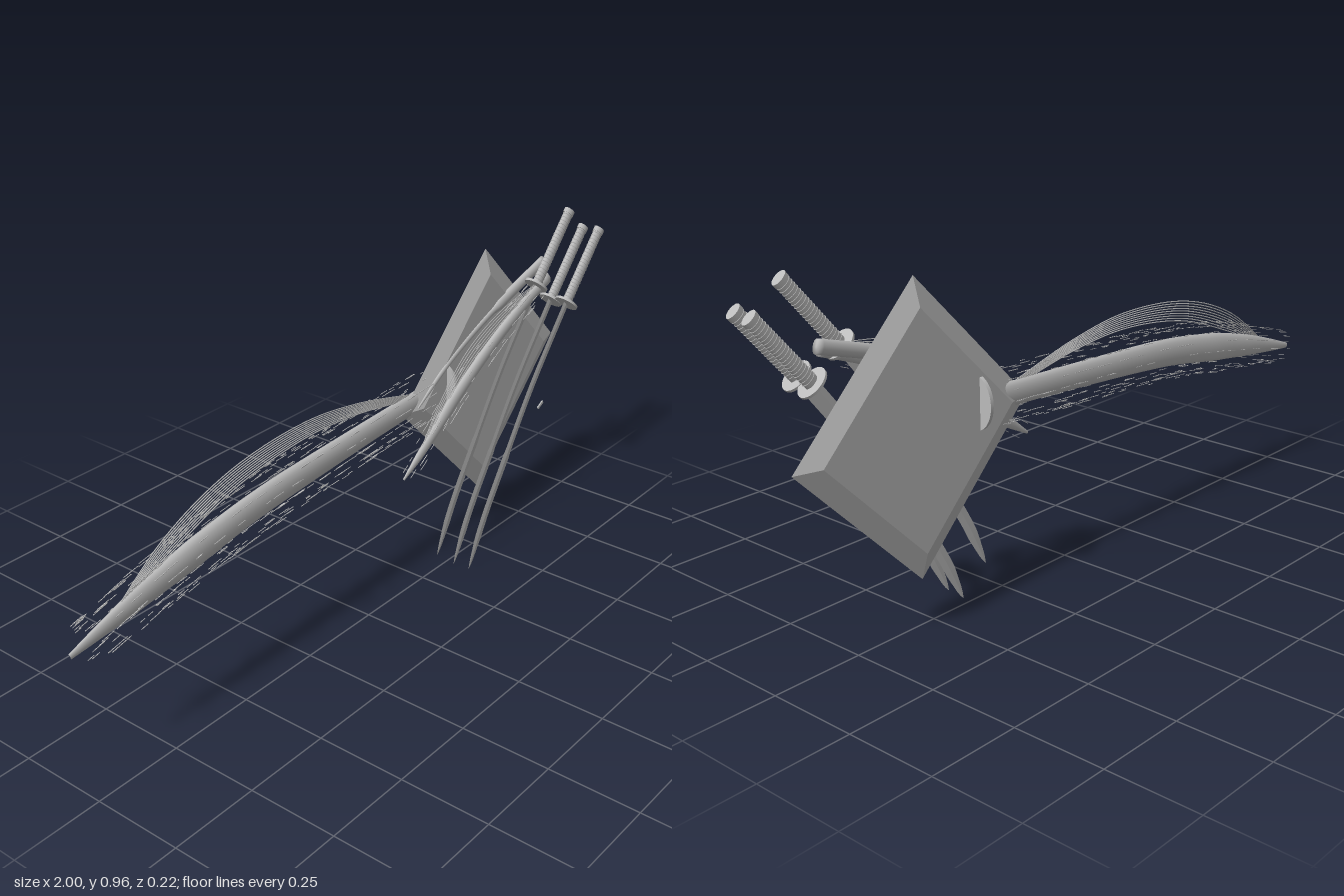
import * as THREE from 'three';
import { mergeGeometries } from 'three/addons/utils/BufferGeometryUtils.js';

const V = (x, y, z) => new THREE.Vector3(x, y, z);
const curveOf = (pts, z) => new THREE.CatmullRomCurve3(pts.map(([x, y]) => V(x, y, z)));
const Y = V(0, 1, 0);

// Linear lookup in a short [u, value] profile
function lookup(profile, u) {
  for (let i = 1; i < profile.length; i++) {
    const [u0, a] = profile[i - 1], [u1, b] = profile[i];
    if (u <= u1) return a + (b - a) * (u - u0) / (u1 - u0);
  }
  return profile[profile.length - 1][1];
}

// Elliptical sections swept along a curve lying in an xy plane
function sweep(curve, profile, ratio, sides, steps = 48) {
  const pos = [], idx = [];
  for (let i = 0; i <= steps + 1; i++) {
    const u = Math.min(i / steps, 1), p = curve.getPointAt(u), t = curve.getTangentAt(u);
    const w = i > steps ? 0 : lookup(profile, u); // last ring closes the end
    for (let j = 0; j < sides; j++) {
      const a = j / sides * Math.PI * 2, c = Math.cos(a) * w;
      pos.push(p.x - t.y * c, p.y + t.x * c, p.z + Math.sin(a) * w * ratio);
      if (i <= steps) {
        const k = (j + 1) % sides, r = i * sides, s = r + sides;
        idx.push(r + j, r + k, s + j, r + k, s + k, s + j);
      }
    }
  }
  const g = new THREE.BufferGeometry();
  g.setAttribute('position', new THREE.Float32BufferAttribute(pos, 3));
  g.setIndex(idx);
  g.computeVertexNormals();
  return g;
}

// Rows of short slivers floating around a curve
function slivers(curve, rows, perRow, ry, rz, seed) {
  const rnd = () => (seed = (seed * 16807) % 2147483647) / 2147483647;
  const list = [];
  for (let i = 0; i < rows * perRow; i++) {
    const u = 0.03 + 0.9 * rnd(), a = (i % rows) / rows * Math.PI * 2, r = 0.9 + 0.1 * rnd();
    const p = curve.getPointAt(u), t = curve.getTangentAt(u);
    const g = new THREE.BoxGeometry(0.015 + 0.025 * rnd(), 0.0014, 0.0014);
    g.rotateZ(Math.atan2(t.y, t.x));
    const c = Math.cos(a) * r * (0.6 + 0.4 * Math.min(1, u * 4)) * ry;
    g.translate(p.x - t.y * c, p.y + t.x * c, p.z + Math.sin(a) * rz * r);
    list.push(g);
  }
  return mergeGeometries(list);
}

// Fan of fine cords blending from an outer to an inner arc
function cordFan(outer, inner, count, z, radius) {
  const list = [];
  for (let i = 0; i < count; i++) {
    const k = i / (count - 1);
    const pts = outer.map(([x, y], n) => [x + (inner[n][0] - x) * k, y + (inner[n][1] - y) * k]);
    list.push(new THREE.TubeGeometry(curveOf(pts, z), 40, radius, 5));
  }
  return mergeGeometries(list);
}

// Oval disc or bar along y
const oval = (rx, rz, h) => new THREE.CylinderGeometry(1, 1, h, 32).scale(rx, 1, rz);

export function createModel() {
  const root = new THREE.Group();
  const grey = new THREE.MeshStandardMaterial({ color: 0xbbbbbb });
  grey.name = 'plain grey';
  const flat = new THREE.MeshStandardMaterial({ color: 0xbbbbbb, flatShading: true });
  flat.name = 'faceted grey';
  const add = (parent, name, geo, mat = grey) => {
    const m = new THREE.Mesh(geo, mat);
    m.name = name;
    parent.add(m);
    return m;
  };

  // Diamond plate: thin rim, bevelled to a flat face on both sides
  const profile = [[0, -0.021], [0.303, -0.021], [0.375, 0], [0.303, 0.021], [0, 0.021]];
  const plate = new THREE.LatheGeometry(profile.map(([r, z]) => new THREE.Vector2(r, z)), 4);
  plate.rotateX(Math.PI / 2);
  add(root, 'diamondPlate', plate, flat).position.set(0.578, 0.525, -0.046);

  // Wrapped oval handle with guard and pommel
  function handle(parent, base, top) {
    const grip = new THREE.Group(), len = base.distanceTo(top);
    grip.name = 'handle';
    add(grip, 'grip', oval(0.019, 0.0115, len).translate(0, len / 2, 0));
    add(grip, 'guard', oval(0.042, 0.032, 0.007));
    add(grip, 'pommel', oval(0.021, 0.0135, 0.014).translate(0, len - 0.007, 0));
    const rings = [];
    for (let y = 0.016; y < len - 0.016; y += 0.011) {
      rings.push(new THREE.TorusGeometry(1, 0.08, 6, 24).rotateX(Math.PI / 2).scale(0.019, 0.02, 0.0115).translate(0, y, 0));
    }
    add(grip, 'gripWrapping', mergeGeometries(rings));
    grip.position.copy(base);
    grip.quaternion.setFromUnitVectors(Y, top.clone().sub(base).normalize());
    parent.add(grip);
  }

  // Three curved swords
  const swords = [[0, 0, 0.025], [0.082, -0.066, 0.08], [0.084, -0.07, 0.025]];
  for (const [dx, dy, z] of swords) {
    const s = new THREE.Group();
    s.name = 'sword';
    const path = curveOf([[0.285, 0.07], [0.355, 0.21], [0.45, 0.36], [0.575, 0.55], [0.74, 0.76]], 0);
    add(s, 'blade', sweep(path, [[0, 0.001], [0.03, 0.008], [0.12, 0.017], [0.42, 0.018], [0.44, 0.015], [1, 0.015]], 0.1, 4), flat);
    handle(s, V(0.74, 0.76, 0), V(0.9, 0.943, 0));
    s.position.set(dx, dy, z);
    root.add(s);
  }

  // Long tapering sheath with its oval guard
  const longPath = curveOf([[-1, 0.383], [-0.78, 0.432], [-0.58, 0.47], [-0.38, 0.5], [0, 0.527], [0.28, 0.542], [0.4, 0.55]], -0.05);
  add(root, 'longSheath', sweep(longPath, [[0, 0.008], [0.05, 0.017], [0.15, 0.032], [0.28, 0.042], [0.5, 0.04], [0.8, 0.034], [1, 0.032]], 0.45, 16));
  add(root, 'ovalGuard', oval(0.072, 0.054, 0.01).rotateZ(Math.PI / 2)).position.set(0.385, 0.55, -0.049);
  add(root, 'longSheathSlivers', slivers(longPath, 16, 30, 0.078, 0.058, 77));

  // Cords arching over the long sheath
  add(root, 'longCords', cordFan(
    [[-0.9, 0.4], [-0.69, 0.55], [-0.47, 0.63], [-0.2, 0.655], [0.01, 0.63], [0.27, 0.565]],
    [[-0.86, 0.42], [-0.66, 0.505], [-0.45, 0.577], [-0.2, 0.61], [0, 0.6], [0.22, 0.562]], 9, -0.05, 0.0016));

  // Short sheath in front of the plate, with its own cords
  const shortPath = curveOf([[0.12, 0.383], [0.22, 0.449], [0.36, 0.55], [0.52, 0.645], [0.68, 0.72], [0.8, 0.765]], 0.025);
  add(root, 'shortSheath', sweep(shortPath, [[0, 0.004], [0.1, 0.014], [0.3, 0.022], [1, 0.019]], 0.55, 14));
  add(root, 'shortSheathSlivers', slivers(shortPath, 10, 8, 0.036, 0.028, 31));
  add(root, 'shortCords', cordFan(
    [[0.17, 0.41], [0.28, 0.555], [0.4, 0.665], [0.56, 0.735], [0.78, 0.77]],
    [[0.19, 0.425], [0.3, 0.53], [0.42, 0.625], [0.57, 0.7], [0.76, 0.765]], 5, 0.025, 0.0012));

  // Slim curved rod lying on the plate, thickening to a grip
  const rodPath = curveOf([[0.25, 0.535], [0.38, 0.618], [0.55, 0.695], [0.7, 0.745], [0.85, 0.79]], -0.026);
  add(root, 'curvedRod', sweep(rodPath, [[0, 0.003], [0.15, 0.008], [0.6, 0.011], [0.64, 0.018], [1, 0.018]], 0.62, 14));

  // Small loose sliver
  const chip = new THREE.BoxGeometry(0.028, 0.008, 0.004).rotateZ(0.5);
  add(root, 'looseSliver', chip).position.set(0.743, 0.388, 0.06);

  return root;
}
